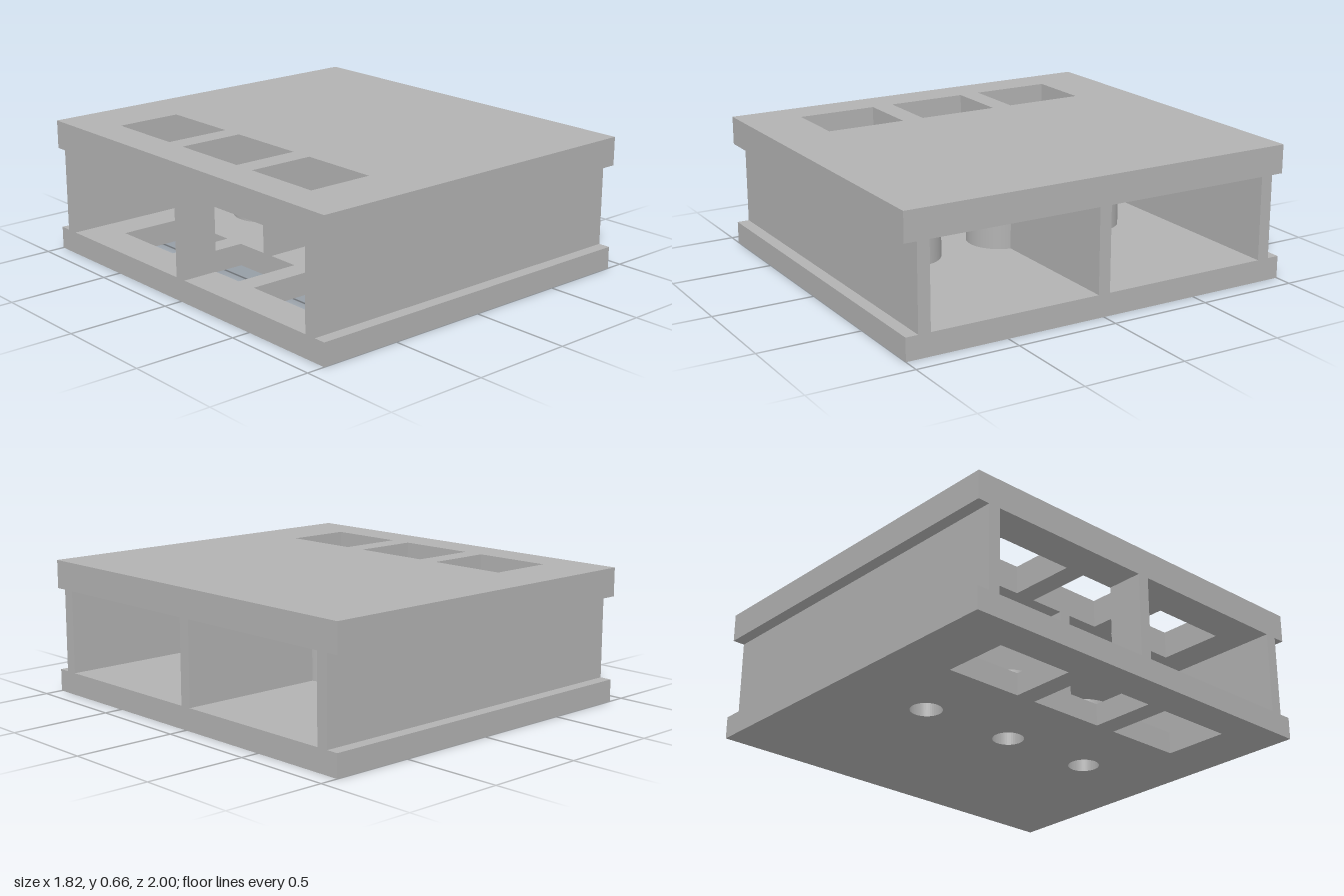
import * as THREE from 'three';

const HALF_X = 0.91, FLOOR = 0.11, CEILING = 0.52, TOP = 0.66;
const BOSS_Z = [-0.51, 0, 0.51], BOSS_R = 0.163, BORE_R = 0.077, BOSS_TOP = 0.29;
const WINDOW_X = [-0.73, -0.4], WINDOWS_Z = [[-0.71, -0.31], [-0.205, 0.2], [0.31, 0.71]];

function polygon(points, Type = THREE.Shape) {
  return new Type(points.map(([x, y]) => new THREE.Vector2(x, y)));
}

function rect(x0, x1, y0, y1, Type) {
  return polygon([[x0, y0], [x1, y0], [x1, y1], [x0, y1]], Type);
}

function circle(x, y, r, Type) {
  const c = new Type();
  c.absarc(x, y, r, 0, Math.PI * 2, false);
  return c;
}

// Extrudes a plan drawn in x and z between two heights
function extrudePlan(shape, y0, y1) {
  const g = new THREE.ExtrudeGeometry(shape, { depth: y1 - y0, bevelEnabled: false, curveSegments: 24 });
  return g.rotateX(Math.PI / 2).translate(0, y1, 0);
}

export function createModel() {
  const group = new THREE.Group();
  const grey = new THREE.MeshStandardMaterial({ color: 0xb2b2b2 });
  grey.name = 'plain grey';

  const add = (name, geometry) => {
    const mesh = new THREE.Mesh(geometry, grey);
    mesh.name = name;
    group.add(mesh);
    return mesh;
  };

  // Plates, both pierced by a row of three windows
  const plate = () => {
    const s = rect(-HALF_X, HALF_X, -1, 1);
    for (const [z0, z1] of WINDOWS_Z) s.holes.push(rect(...WINDOW_X, z0, z1, THREE.Path));
    return s;
  };
  const base = plate();
  for (const z of BOSS_Z) base.holes.push(circle(0, z, BORE_R, THREE.Path));
  add('basePlate', extrudePlan(base, 0, FLOOR));
  add('topPlate', extrudePlan(plate(), CEILING, TOP));

  // Outer walls, set in from the plate edges
  for (const [name, z] of [['frontWall', 0.91], ['backWall', -0.91]]) {
    add(name, new THREE.BoxGeometry(HALF_X * 2, CEILING - FLOOR, 0.06)).position.set(0, (FLOOR + CEILING) / 2, z);
  }

  // Middle wall, open at the window and notched over the central bore
  const notch = 0.12;
  const wallParts = [
    ['middleWallPost', rect(-HALF_X, WINDOW_X[0], FLOOR, CEILING)],
    ['middleWall', polygon([
      [WINDOW_X[1], FLOOR], [-notch, FLOOR], [-notch, BOSS_TOP], [notch, BOSS_TOP],
      [notch, FLOOR], [HALF_X, FLOOR], [HALF_X, CEILING], [WINDOW_X[1], CEILING],
    ])],
  ];
  for (const [name, shape] of wallParts) {
    const g = new THREE.ExtrudeGeometry(shape, { depth: 0.06, bevelEnabled: false });
    add(name, g.translate(0, 0, -0.03));
  }

  // Round hollow bosses, smooth on the curved sides and sharp at the rims
  const profile = [
    [BORE_R, FLOOR], [BOSS_R, FLOOR], [BOSS_R, FLOOR], [BOSS_R, BOSS_TOP],
    [BOSS_R, BOSS_TOP], [BORE_R, BOSS_TOP], [BORE_R, BOSS_TOP], [BORE_R, FLOOR],
  ].map(([x, y]) => new THREE.Vector2(x, y));
  for (const z of BOSS_Z) {
    const boss = new THREE.Group();
    boss.name = 'boss';
    boss.position.z = z;
    for (let i = 0; i < profile.length; i += 2) {
      const mesh = new THREE.Mesh(new THREE.LatheGeometry(profile.slice(i, i + 2), 48), grey);
      mesh.name = ['bossBottom', 'bossSide', 'bossRim', 'bossBore'][i / 2];
      boss.add(mesh);
    }
    group.add(boss);
  }
  return group;
}
